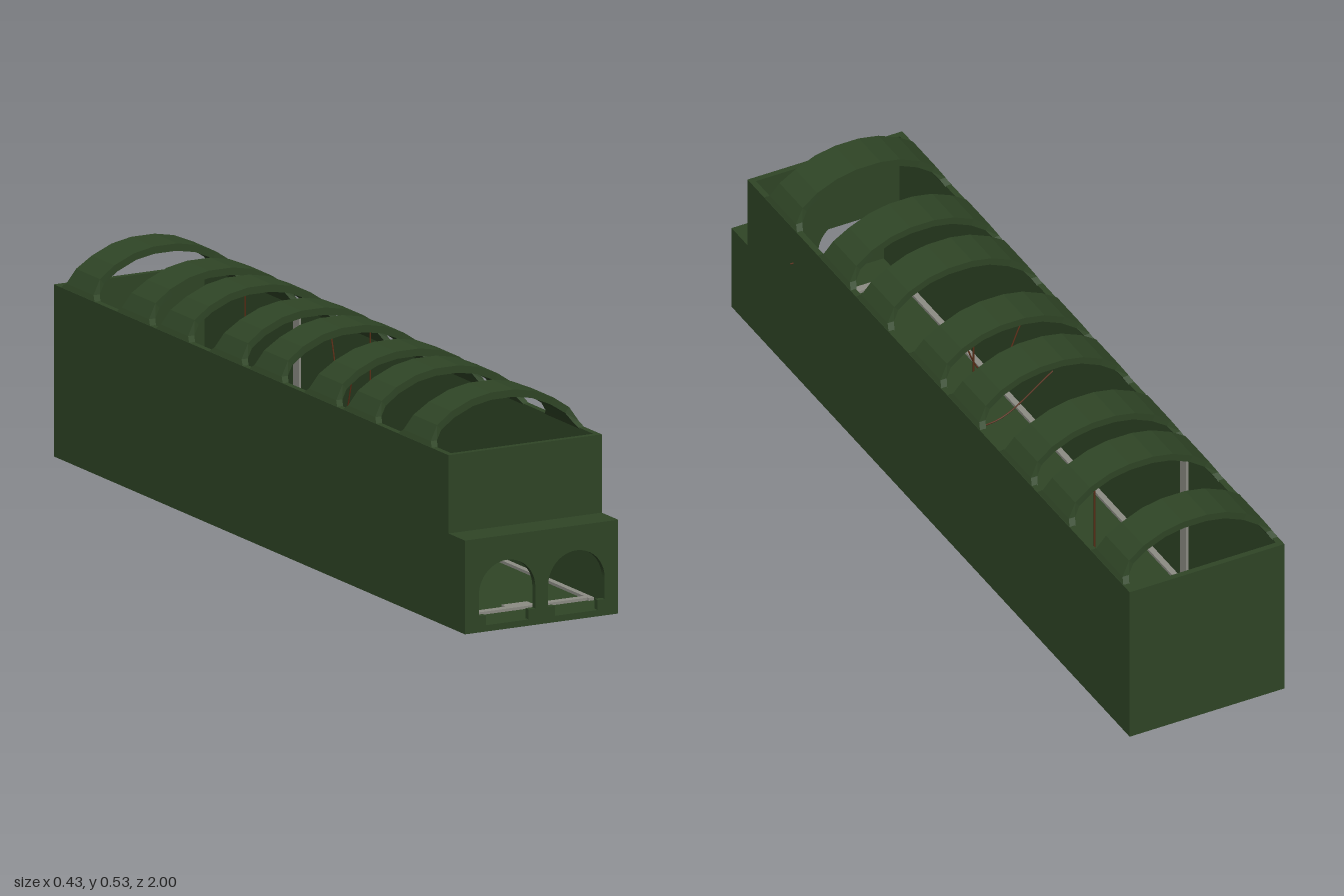
import * as THREE from 'three';

export function createModel() {
  const root = new THREE.Group();
  root.name = 'ribbedTrough';
  const mat = (name, color, side = THREE.FrontSide) => {
    const m = new THREE.MeshStandardMaterial({ color, side });
    m.name = name;
    return m;
  };
  const green = mat('darkGreen', 0x2f4526);
  const grey = mat('paleGrey', 0x8c8c84);
  const brown = mat('rustBrown', 0x5c3018);

  const add = (name, geo, m = green) => {
    const mesh = new THREE.Mesh(geo, m);
    mesh.name = name;
    root.add(mesh);
    return mesh;
  };
  // Box given by its lower and upper limits on each axis
  const box = (name, x0, x1, y0, y1, z0, z1, m) => {
    const mesh = add(name, new THREE.BoxGeometry(x1 - x0, y1 - y0, z1 - z0), m);
    mesh.position.set((x0 + x1) / 2, (y0 + y1) / 2, (z0 + z1) / 2);
  };

  const L = -0.215, R = 0.203, T = 0.015, CX = (L + R) / 2;

  // Stepped side walls
  const sideShape = new THREE.Shape([[-1, 0], [1, 0], [1, 0.23], [0.92, 0.23], [0.92, 0.422], [-1, 0.422]]
    .map(([z, y]) => new THREE.Vector2(z, y)));
  for (const [name, x] of [['leftWall', R], ['rightWall', L + T]]) {
    const geo = new THREE.ExtrudeGeometry(sideShape, { depth: T, bevelEnabled: false });
    geo.rotateY(-Math.PI / 2).translate(x, 0, 0);
    add(name, geo);
  }

  // Floor, back wall, upper front wall and the step ledge
  const a = L + T, b = R - T;
  box('floor', a, b, 0, 0.015, -1, 1);
  box('backWall', a, b, 0.015, 0.422, -1, -1 + T);
  box('upperFrontWall', a, b, 0.215, 0.422, 0.905, 0.92);
  box('frontLedge', a, b, 0.215, 0.23, 0.92, 1);

  // Lower front wall with two arched openings, each with a narrower foot slot
  const front = new THREE.Shape([[a, 0.015], [b, 0.015], [b, 0.215], [a, 0.215]]
    .map(p => new THREE.Vector2(...p)));
  for (const cx of [-0.1, 0.089]) {
    const r = 0.077, s = 0.058, spring = 0.092;
    const hole = new THREE.Path();
    hole.moveTo(cx - s, 0.0155);
    hole.lineTo(cx - s, 0.04);
    hole.lineTo(cx - r, 0.04);
    hole.lineTo(cx - r, spring);
    hole.absarc(cx, spring, r, Math.PI, 0, true);
    hole.lineTo(cx + r, 0.04);
    hole.lineTo(cx + s, 0.04);
    hole.lineTo(cx + s, 0.0155);
    hole.closePath();
    front.holes.push(hole);
  }
  const frontGeo = new THREE.ExtrudeGeometry(front, { depth: T, bevelEnabled: false, curveSegments: 20 });
  add('archedFrontWall', frontGeo.translate(0, 0, 1 - T));

  // Arched rib: rectangular sections [outer x, outer y, inner x, inner y, half width]
  const half = [
    [0.209, 0.42, 0.193, 0.42, 0.084], [0.202, 0.434, 0.185, 0.434, 0.066],
    [0.18, 0.469, 0.169, 0.456, 0.058], [0.139, 0.497, 0.131, 0.481, 0.055],
    [0.085, 0.52, 0.08, 0.503, 0.055], [0.032, 0.53, 0.03, 0.512, 0.055],
  ];
  const sections = [
    ...half.map(([ox, oy, ix, iy, w]) => [-ox, oy, -ix, iy, w]),
    ...half.slice().reverse(),
  ];
  const ribGeometry = () => {
    const pos = [];
    const corners = ([ox, oy, ix, iy, w]) => [[ox, oy, w], [ox, oy, -w], [ix, iy, -w], [ix, iy, w]];
    for (let i = 0; i < sections.length - 1; i++) {
      const p = corners(sections[i]), q = corners(sections[i + 1]);
      for (let k = 0; k < 4; k++) {
        const n = (k + 1) % 4;
        pos.push(...p[k], ...q[k], ...q[n], ...p[k], ...q[n], ...p[n]);
      }
    }
    const g = new THREE.BufferGeometry();
    g.setAttribute('position', new THREE.Float32BufferAttribute(pos, 3));
    g.computeVertexNormals();
    return g;
  };
  const ribGeo = ribGeometry();
  [0.755, 0.485, 0.295, 0.03, -0.165, -0.425, -0.615, -0.885].forEach((z, i) => {
    add('archRib' + (i + 1), ribGeo).position.set(CX, 0, z);
  });

  // Pale trim around the floor edge and posts on the walls
  const F = 0.015, G = 0.022;
  box('floorTrimRight', a, a + 0.015, F, G, -0.985, 0.91, grey);
  box('floorTrimLeft', b - 0.015, b, F, G, -0.985, 0.91, grey);
  box('floorTrimBack', a, b, F, G, -0.985, -0.965, grey);
  box('floorTrimFront', a, b, F, G, 0.885, 0.905, grey);
  box('floorTrimMiddle', -0.04, 0.03, F, G, 0.865, 0.885, grey);
  box('rightPost', a, a + 0.006, F, 0.41, -0.545, -0.515, grey);
  box('leftPost', b - 0.006, b, F, 0.41, -0.545, -0.515, grey);

  // Thin sagging and hanging cords
  const cord = (name, points) => {
    const curve = new THREE.CatmullRomCurve3(points.map(p => new THREE.Vector3(...p)));
    add(name, new THREE.TubeGeometry(curve, 24, 0.002, 5), brown);
  };
  cord('crossCordFront', [[-0.195, 0.32, 0.69], [0, 0.3, 0.69], [0.212, 0.323, 0.69]]);
  cord('crossCordMiddle', [[-0.2, 0.22, 0.135], [-0.06, 0.115, 0.15], [0.06, 0.13, 0.145], [0.188, 0.2, 0.13]]);
  cord('saggingCord', [[-0.2, 0.25, 0.3], [-0.15, 0.145, 0.3], [-0.12, 0.13, 0.3], [-0.085, 0.165, 0.3], [-0.05, 0.25, 0.3]]);
  cord('wallCord', [[0.184, 0.38, -0.36], [0.184, 0.2, -0.3], [0.184, 0.38, -0.24]]);
  cord('hangingCord1', [[0.071, 0.505, 0.03], [0.071, 0.32, 0.03], [0.071, 0.145, 0.03]]);
  cord('hangingCord2', [[0.091, 0.5, -0.615], [0.091, 0.35, -0.615], [0.091, 0.2, -0.615]]);

  return root;
}
